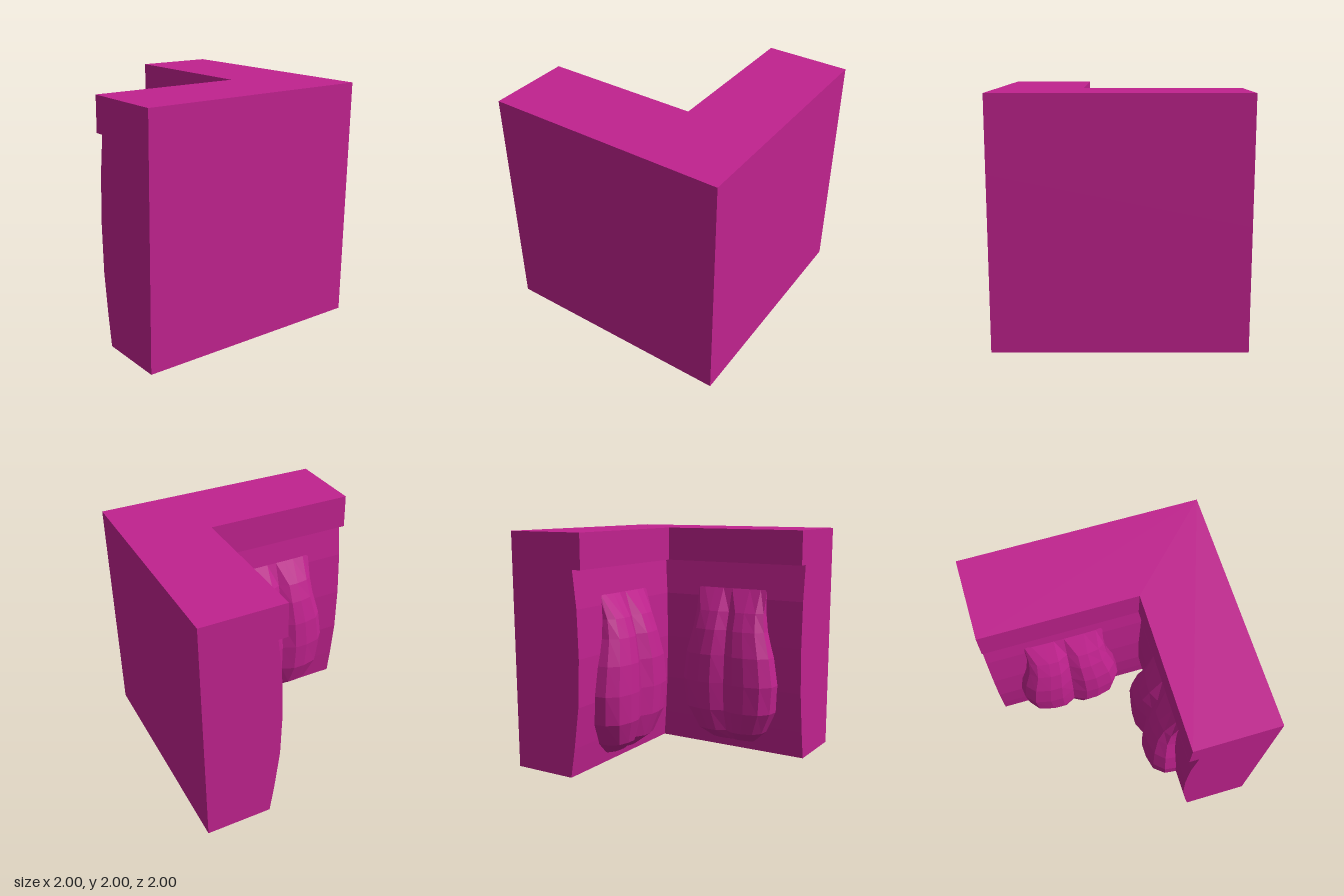
import * as THREE from 'three';

const magenta = new THREE.MeshStandardMaterial({ color: 0xc0228e, flatShading: true });
magenta.name = 'magenta';

function facetedGeometry(points, index) {
  const indexed = new THREE.BufferGeometry();
  indexed.setAttribute('position', new THREE.Float32BufferAttribute(points, 3));
  indexed.setIndex(index);
  const geometry = indexed.toNonIndexed();
  geometry.computeVertexNormals();
  return geometry;
}

// Inner wall offset at each height: bowed below, straight lip on top
const wallProfile = [
  [0, 0.44], [0.25, 0.398], [0.6, 0.35], [1, 0.333], [1.4, 0.345], [1.71, 0.38],
  [1.71, 0.3], [2, 0.3],
];

function wallAt(y) {
  for (let i = 1; i < 6; i++) {
    const [y0, w0] = wallProfile[i - 1], [y1, w1] = wallProfile[i];
    if (y <= y1) return w0 + ((w1 - w0) * (y - y0)) / (y1 - y0);
  }
  return 0.3;
}

// L-shaped corner block stacked from L cross-sections
function cornerBlock() {
  const points = [], index = [];
  for (const [y, w] of wallProfile) {
    for (const [x, z] of [[-1, 1], [1, 1], [1, -1], [w, -1], [w, w], [-1, w]]) points.push(x, y, z);
  }
  const last = wallProfile.length - 1;
  for (let i = 0; i < last; i++) {
    const step = wallProfile[i][0] === wallProfile[i + 1][0];
    for (let j = 0; j < 6; j++) {
      if (step && j !== 3 && j !== 4) continue; // only the lip underside is flat
      const k = (j + 1) % 6;
      const a = i * 6 + j, b = i * 6 + k;
      index.push(a, b, a + 6, b, b + 6, a + 6);
    }
  }
  for (let k = 2; k < 6; k++) {
    const n = (k + 1) % 6, t = last * 6;
    index.push(t + 1, t + k, t + n, 1, n, k);
  }
  return facetedGeometry(points, index);
}

// Two-lobed relief facing -z: height, half width, lobe front, crease front
const lobeLevels = [
  [1.48, 0.345, 0.345, 0.345],
  [1.28, 0.34, 0.24, 0.285],
  [1.12, 0.36, 0.185, 0.24],
  [0.9, 0.42, 0.145, 0.205],
  [0.65, 0.455, 0.135, 0.19],
  [0.4, 0.43, 0.15, 0.2],
  [0.2, 0.33, 0.215, 0.26],
  [0.1, 0.22, 0.34, 0.36],
  [0.07, 0.18, 0.44, 0.44],
];
// Across one lobe: fraction of half width, fraction of lobe depth
const lobeSection = [[1, 0], [0.97, 0.5], [0.8, 0.87], [0.5, 1], [0.25, 1]];

function lobedRelief() {
  const points = [], index = [];
  const cols = lobeSection.length * 2 + 1;
  for (const [y, half, front, crease] of lobeLevels) {
    const base = wallAt(y) + 0.015;
    const at = ([u, p], side) => points.push(side * u * half, y, base - (base - front) * p);
    lobeSection.forEach((s) => at(s, -1));
    points.push(0, y, crease);
    [...lobeSection].reverse().forEach((s) => at(s, 1));
  }
  for (let i = 0; i < lobeLevels.length - 1; i++) {
    for (let j = 0; j < cols - 1; j++) {
      const a = i * cols + j, c = a + cols;
      index.push(a, a + 1, c, a + 1, c + 1, c);
    }
  }
  return facetedGeometry(points, index);
}

export function createModel() {
  const model = new THREE.Group();
  model.name = 'cornerBlockModel';

  const block = new THREE.Mesh(cornerBlock(), magenta);
  block.name = 'cornerBlock';
  model.add(block);

  // One relief on each inner wall
  const relief = lobedRelief();
  const frontRelief = new THREE.Mesh(relief, magenta);
  frontRelief.name = 'frontWallRelief';
  frontRelief.position.x = -0.33;
  const sideRelief = new THREE.Mesh(relief, magenta);
  sideRelief.name = 'sideWallRelief';
  sideRelief.rotation.y = Math.PI / 2;
  sideRelief.position.z = -0.33;
  model.add(frontRelief, sideRelief);

  return model;
}
